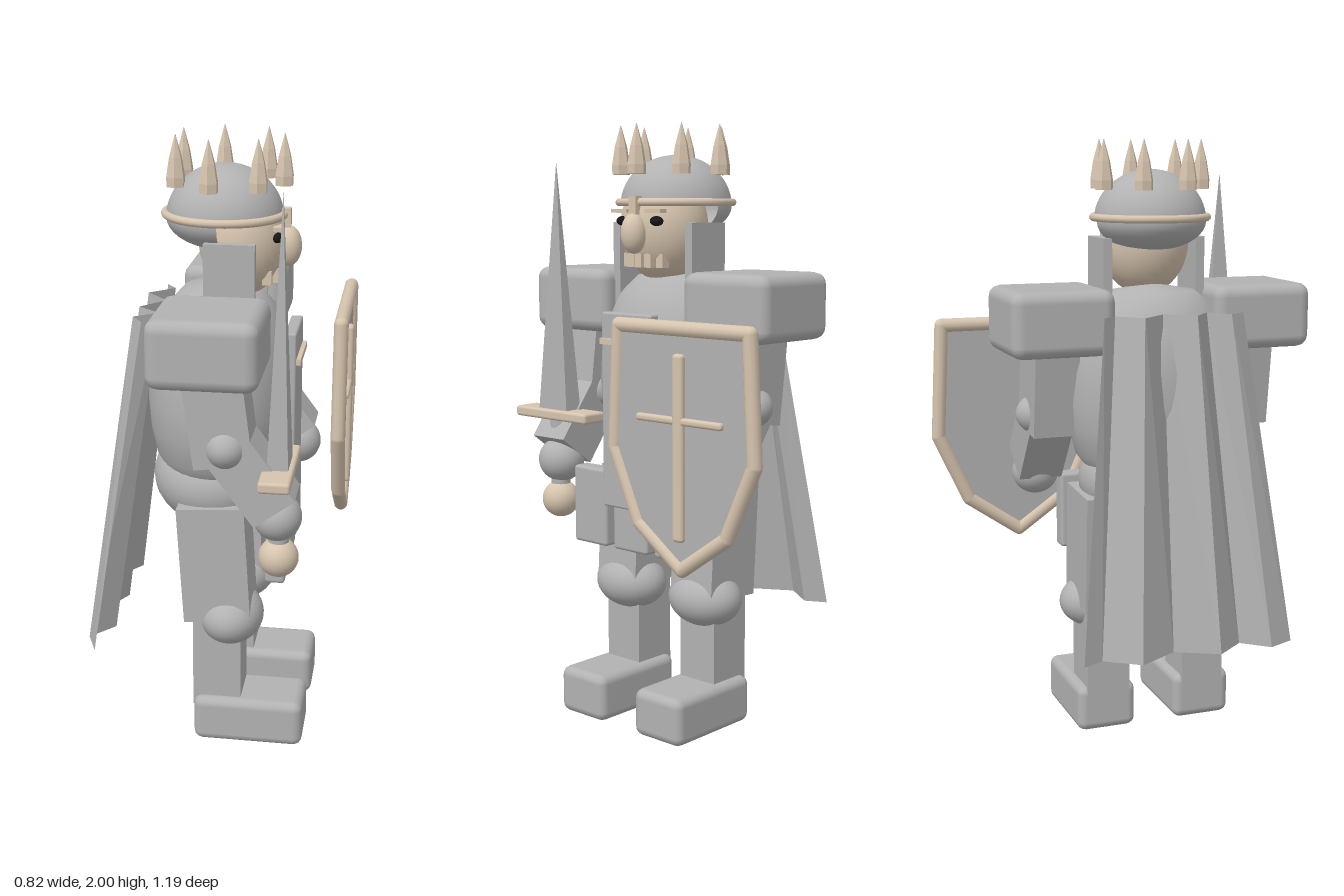
import * as THREE from 'three';
import { RoundedBoxGeometry } from 'three/addons/geometries/RoundedBoxGeometry.js';

export function createModel() {
  const model = new THREE.Group();
  model.name = 'armouredKing';
  const material = (name, color, extra = {}) =>
    Object.assign(new THREE.MeshStandardMaterial({ color, ...extra }), { name });
  const steel = material('steel grey', 0xb2b2b2, { side: THREE.DoubleSide });
  const tan = material('tan', 0xd6c4ae);
  const black = material('black', 0x161616);

  // The figure faces +x; its centre line lies a little to +z
  const figure = new THREE.Group();
  figure.name = 'figure';
  figure.position.z = 0.077;
  model.add(figure);

  const add = (name, geo, mat, x, y, z, parent = figure) => {
    const m = new THREE.Mesh(geo, mat);
    m.name = name;
    m.position.set(x, y, z);
    parent.add(m);
    return m;
  };
  const box = (name, mat, w, h, d, x, y, z, tilt = 0) => {
    const m = add(name, new THREE.BoxGeometry(w, h, d), mat, x, y, z);
    m.rotation.z = tilt;
    return m;
  };
  const rounded = (name, mat, w, h, d, r, x, y, z) =>
    add(name, new RoundedBoxGeometry(w, h, d, 2, r), mat, x, y, z);
  const ball = (name, mat, rx, ry, rz, x, y, z) => {
    const m = add(name, new THREE.SphereGeometry(1, 32, 20), mat, x, y, z);
    m.scale.set(rx, ry, rz);
    return m;
  };

  // Torso and hips
  const profile = [[0.18, 0.92], [0.21, 0.97], [0.228, 1.06], [0.235, 1.15], [0.23, 1.26],
    [0.212, 1.36], [0.175, 1.45], [0.12, 1.51], [0.001, 1.535]].map(p => new THREE.Vector2(...p));
  const torso = add('torso', new THREE.LatheGeometry(profile, 36), steel, 0, 0, 0);
  torso.scale.z = 1.24;
  ball('hips', steel, 0.222, 0.175, 0.25, 0, 0.88, 0);
  rounded('tabard', steel, 0.04, 0.65, 0.225, 0.008, 0.236, 1.07, 0);
  box('tabardBar', tan, 0.02, 0.02, 0.215, 0.26, 1.3, 0);
  for (const [z, top] of [[-0.187, 0.865], [0, 0.8], [0.187, 0.865]])
    rounded('tasset', steel, 0.065, top - 0.6, 0.155, 0.012, 0.213, (top + 0.6) / 2, z);

  // Limbs, mirrored about the centre line
  for (const s of [-1, 1]) {
    rounded('foot', steel, 0.365, 0.16, 0.207, 0.03, 0.128, 0.082, s * 0.175);
    box('shin', steel, 0.16, 0.33, 0.15, 0.022, 0.29, s * 0.173);
    ball('knee', steel, 0.108, 0.095, 0.135, 0.06, 0.44, s * 0.172);
    box('thigh', steel, 0.22, 0.4, 0.18, 0.013, 0.645, s * 0.173, 0.06);
    rounded('shoulder', steel, 0.34, 0.215, 0.347, 0.04, 0.015, 1.423, s * 0.344);
    box('upperArm', steel, 0.185, 0.36, 0.15, 0.045, 1.23, s * 0.343, 0.13);
    ball('elbow', steel, 0.077, 0.077, 0.108, 0.072, 1.105, s * 0.343);
    box('forearm', steel, 0.157, 0.28, 0.15, 0.142, 1.02, s * 0.343, 0.64);
    ball('hand', steel, 0.077, 0.077, 0.08, 0.228, 0.873, s * 0.343);
  }

  // Head
  ball('face', tan, 0.14, 0.18, 0.15, 0.07, 1.67, 0);
  ball('nose', tan, 0.042, 0.065, 0.043, 0.215, 1.65, 0);
  for (const s of [-1, 1]) {
    ball('eye', black, 0.018, 0.016, 0.025, 0.187, 1.69, s * 0.075);
    box('brow', tan, 0.03, 0.012, 0.07, 0.192, 1.722, s * 0.075);
    box('cheekGuard', steel, 0.16, 0.32, 0.03, 0.05, 1.525, s * 0.162);
  }
  for (let i = -2; i <= 2; i++)
    box('tooth', tan, 0.03, 0.045, 0.029, 0.181 - 0.006 * i * i, 1.563, i * 0.036);

  // Crowned helmet with a deeper back
  const hx = 0.013, hy = 1.738;
  const dome = add('helmetDome', new THREE.SphereGeometry(0.185, 36, 14, 0, Math.PI * 2, 0, Math.PI / 2), steel, hx, hy, 0);
  dome.scale.y = 0.9;
  const nape = add('helmetNape', new THREE.SphereGeometry(0.185, 24, 10, -Math.PI / 2, Math.PI, Math.PI / 2, Math.PI / 2), steel, hx, hy, 0);
  nape.scale.y = 0.54;
  const band = add('crownBand', new THREE.TorusGeometry(0.188, 0.013, 10, 48), tan, hx, 1.75, 0);
  band.rotation.x = Math.PI / 2;
  box('noseGuard', tan, 0.03, 0.07, 0.03, 0.207, 1.735, 0);
  const spikeProfile = [[0.001, 0], [0.03, 0], [0.031, 0.03], [0.021, 0.09], [0.001, 0.16]]
    .map(p => new THREE.Vector2(...p));
  const spikeGeo = new THREE.LatheGeometry(spikeProfile, 6).toNonIndexed();
  spikeGeo.computeVertexNormals();
  for (let i = 0; i < 7; i++) {
    const a = (i / 7) * Math.PI * 2;
    add('crownSpike', spikeGeo, tan, 0.026 + 0.173 * Math.cos(a), 1.84, 0.173 * Math.sin(a));
  }

  // Sword, upright in the hand
  const sword = new THREE.Group();
  sword.name = 'sword';
  sword.position.set(0.233, 0, 0.42);
  model.add(sword);
  const bladeGeo = new THREE.ConeGeometry(Math.SQRT1_2, 1, 4, 1).toNonIndexed();
  bladeGeo.rotateY(Math.PI / 4);
  bladeGeo.scale(0.066, 0.84, 0.136);
  bladeGeo.computeVertexNormals();
  add('blade', bladeGeo, steel, 0, 1.465, 0, sword);
  add('crossguard', new RoundedBoxGeometry(0.098, 0.036, 0.345, 2, 0.01), tan, 0, 1.032, 0, sword);
  add('grip', new THREE.CylinderGeometry(0.033, 0.033, 0.3, 16), steel, 0, 0.89, 0, sword);
  add('pommel', new THREE.SphereGeometry(0.064, 24, 16), tan, 0, 0.735, 0, sword);

  // Shield, facing +x
  const shield = new THREE.Group();
  shield.name = 'shield';
  shield.position.set(0.382, 0, -0.285);
  model.add(shield);
  const half = [[0.265, 1.373], [0.285, 0.985], [0.18, 0.755], [0, 0.63]];
  const outline = [...half, ...half.slice(0, 3).reverse().map(([z, y]) => [-z, y])];
  const plateGeo = new THREE.ExtrudeGeometry(
    new THREE.Shape(outline.map(p => new THREE.Vector2(...p))), { depth: 0.02, bevelEnabled: false });
  plateGeo.translate(0, 0, -0.01);
  plateGeo.rotateY(Math.PI / 2);
  add('shieldPlate', plateGeo, steel, 0, 0, 0, shield);
  const up = new THREE.Vector3(0, 1, 0);
  outline.forEach(([z, y], i) => {
    const [z2, y2] = outline[(i + 1) % outline.length];
    const a = new THREE.Vector3(0, y, z), b = new THREE.Vector3(0, y2, z2);
    const mid = a.clone().add(b).multiplyScalar(0.5);
    const rail = add('shieldRim', new THREE.CylinderGeometry(0.024, 0.024, a.distanceTo(b), 12),
      tan, 0, mid.y, mid.z, shield);
    rail.quaternion.setFromUnitVectors(up, b.sub(a).normalize());
    add('shieldRimCorner', new THREE.SphereGeometry(0.024, 12, 8), tan, 0, y, z, shield);
  });
  add('shieldCrossUpright', new RoundedBoxGeometry(0.028, 0.58, 0.042, 2, 0.012), tan, 0.015, 1.01, 0, shield);
  add('shieldCrossArm', new RoundedBoxGeometry(0.024, 0.024, 0.35, 2, 0.01), tan, 0.015, 1.095, 0, shield);

  // Pleated cape, narrower at the neck; each pair is z and x of the hem
  const hem = [[-0.362, -0.37], [-0.29, -0.335], [-0.18, -0.413], [-0.045, -0.335],
    [0.093, -0.407], [0.19, -0.33], [0.275, -0.403], [0.362, -0.365]];
  const pos = [], index = [];
  hem.forEach(([z, x], i) => {
    pos.push(x, 0.365, z, x + 0.152, 1.45, z * 0.66);
    const k = i * 2;
    if (i) index.push(k - 2, k, k - 1, k, k + 1, k - 1);
  });
  let capeGeo = new THREE.BufferGeometry();
  capeGeo.setAttribute('position', new THREE.Float32BufferAttribute(pos, 3));
  capeGeo.setIndex(index);
  capeGeo = capeGeo.toNonIndexed();
  capeGeo.computeVertexNormals();
  add('cape', capeGeo, steel, 0, 0, 0);

  return model;
}
